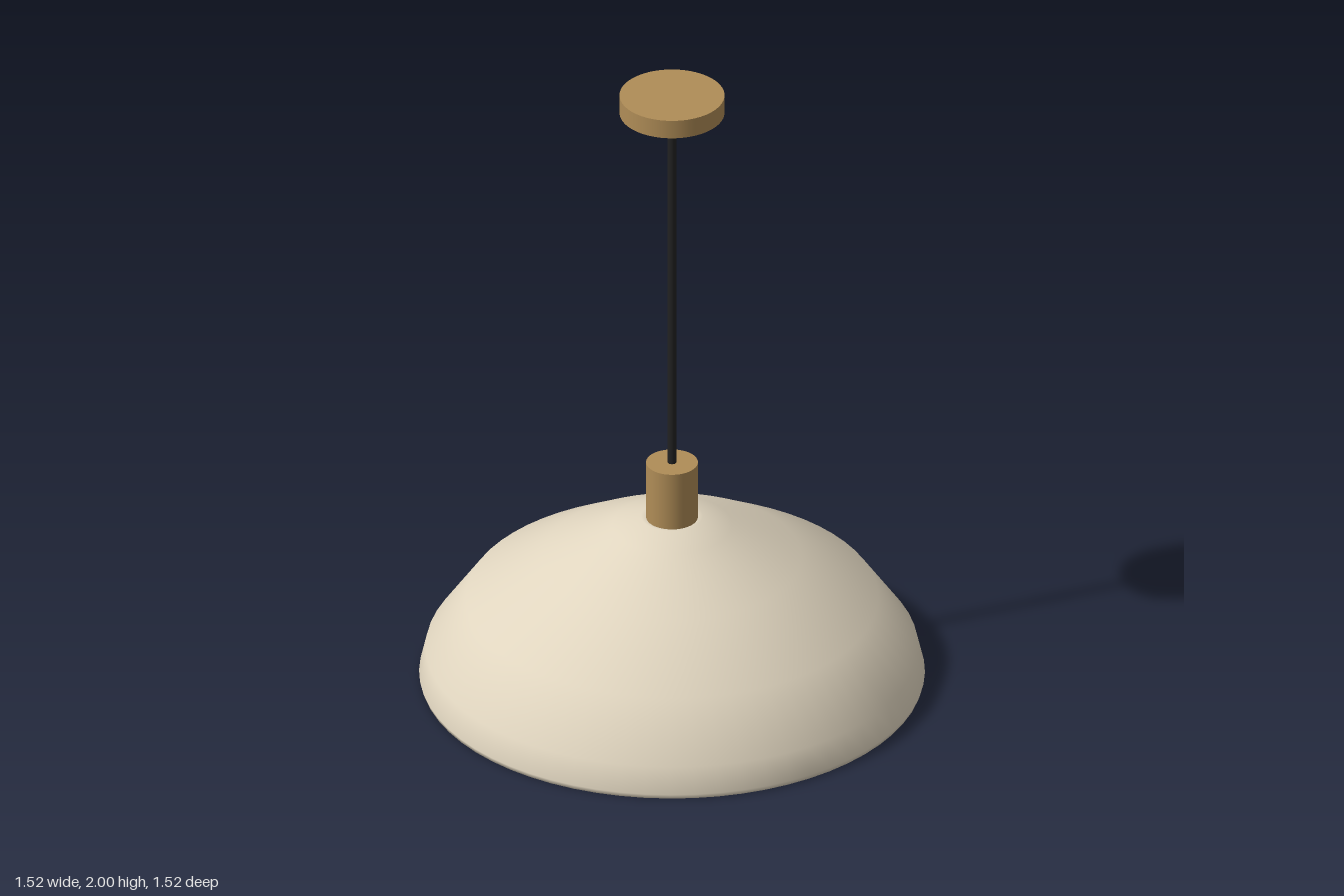
import * as THREE from 'three';

export function createModel() {
  const lamp = new THREE.Group();
  lamp.name = 'pendantLamp';

  const cream = new THREE.MeshStandardMaterial({ color: 0xe0d5bf, side: THREE.DoubleSide });
  cream.name = 'cream enamel';
  const brass = new THREE.MeshStandardMaterial({ color: 0xb08d57 });
  brass.name = 'brass';
  const black = new THREE.MeshStandardMaterial({ color: 0x222222 });
  black.name = 'black cord';

  const add = (name, geometry, material) => {
    const mesh = new THREE.Mesh(geometry, material);
    mesh.name = name;
    lamp.add(mesh);
  };

  // Upright cylinder between two heights
  const rod = (name, radius, bottom, top, material) => {
    const geometry = new THREE.CylinderGeometry(radius, radius, top - bottom, 48);
    geometry.translate(0, (bottom + top) / 2, 0);
    add(name, geometry, material);
  };

  // Shade: down the inside, round the rim, up the outside, in to the neck
  const profile = [
    [0.07, 0.53], [0.17, 0.50], [0.38, 0.39], [0.60, 0.255], [0.72, 0.095], [0.74, 0.015],
    [0.745, 0.002], [0.755, 0],
    [0.76, 0.015], [0.74, 0.10], [0.62, 0.27], [0.39, 0.41], [0.18, 0.52], [0.093, 0.55],
    [0.07, 0.545],
  ].map(([r, y]) => new THREE.Vector2(r, y));
  add('shade', new THREE.LatheGeometry(profile, 64), cream);

  // Fittings and cord
  rod('socket', 0.078, 0.53, 0.735, brass);
  rod('cord', 0.013, 0.73, 1.95, black);
  rod('ceilingCanopy', 0.158, 1.94, 2, brass);

  return lamp;
}
